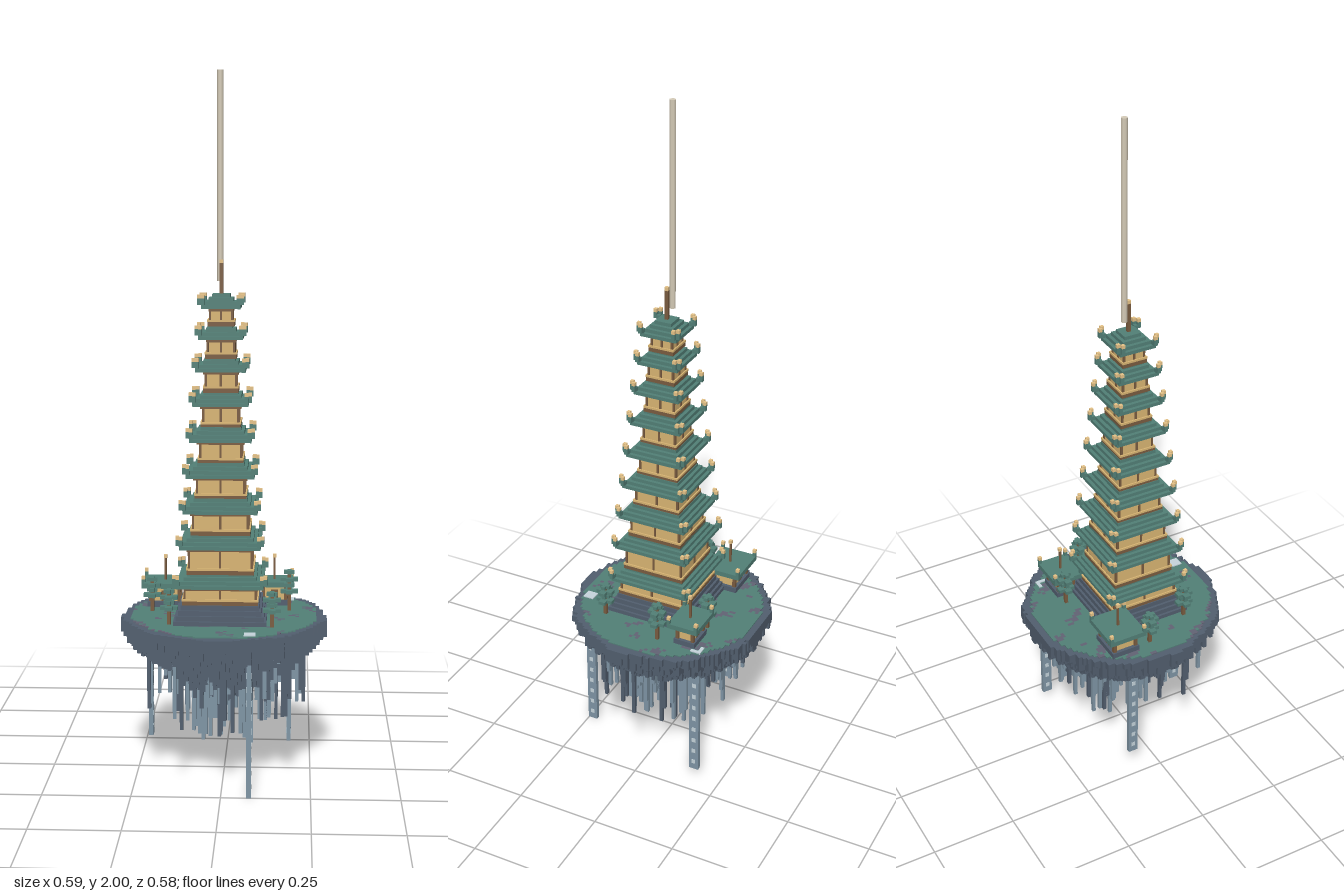
import * as THREE from 'three';
import { mergeGeometries } from 'three/addons/utils/BufferGeometryUtils.js';

const V = 0.01; // block size
const mat = (name, color) => {
  const m = new THREE.MeshStandardMaterial({ color });
  m.name = name;
  return m;
};
const MATS = {
  rock: mat('rock', 0x525f6f),
  grass: mat('grass', 0x528077),
  earth: mat('bare earth', 0x626374),
  roof: mat('roof tile', 0x528077),
  wall: mat('plaster wall', 0xd9b573),
  timber: mat('timber', 0x7a5c40),
  gold: mat('gold', 0xe6c388),
  water: mat('water', 0xc6d5dc),
  icicle: mat('hanging stone', 0x7f95a5),
  mast: mat('mast stone', 0xd6ccb8),
};

// Collects boxes by material and merges them into named meshes
function builder(name) {
  const lists = {};
  return {
    box(m, x, z, y0, y1, w, d = w) {
      const g = new THREE.BoxGeometry(w, y1 - y0, d);
      g.translate(x, (y0 + y1) / 2, z);
      (lists[m] ||= []).push(g);
    },
    build() {
      const group = new THREE.Group();
      group.name = name;
      for (const [m, geos] of Object.entries(lists)) {
        const mesh = new THREE.Mesh(mergeGeometries(geos), MATS[m]);
        mesh.name = name + ' ' + MATS[m].name;
        group.add(mesh);
      }
      return group;
    },
  };
}

function seeded(s) {
  return () => {
    s = (s * 1664525 + 1013904223) % 4294967296;
    return s / 4294967296;
  };
}
const corners = (f) => { for (const i of [-1, 1]) for (const j of [-1, 1]) f(i, j); };
const rockBottom = (r) => 0.44 - 0.235 * Math.pow(Math.max(0, 1 - r / 0.3), 0.75);

// Floating island: one column per block, deeper towards the middle
function island() {
  const b = builder('island'), rnd = seeded(7);
  for (let i = -30; i <= 30; i++) for (let j = -30; j <= 30; j++) {
    const x = i * V, z = j * V, r = Math.hypot(x, z);
    if (r > 0.29 + 0.005 * Math.sin(Math.atan2(z, x) * 9) + 0.008 * (rnd() - 0.5)) continue;
    const low = rockBottom(r) + Math.round((rnd() - 0.5) * 4) * V * 0.9;
    b.box('rock', x, z, Math.min(low, 0.44), 0.459, V);
    if (r < 0.27) {
      const n = Math.sin(x * 37 + 1.3) * Math.sin(z * 31 + 0.6) + 0.6 * Math.sin(x * 71 - z * 53);
      const bare = n > 0.7 && rnd() < 0.6;
      b.box(bare ? 'earth' : 'grass', x, z, 0.458, 0.462, V);
    }
  }
  return b.build();
}

// Thin stone columns and waterfalls hanging below the island
function hangings() {
  const b = builder('hangings'), rnd = seeded(23);
  for (let k = 0; k < 120; k++) {
    const r = 0.24 * Math.sqrt(rnd()), a = rnd() * Math.PI * 2;
    const x = Math.round(r * Math.cos(a) / V) * V, z = Math.round(r * Math.sin(a) / V) * V;
    const top = rockBottom(r) + 0.03;
    const end = Math.max(0.09, top - 0.05 - 0.15 * rnd());
    const m = rnd() < 0.7 ? 'icicle' : 'rock';
    b.box(m, x, z, end, top, V);
    if (rnd() < 0.6) b.box(m, x + V, z, end + 0.03 + 0.04 * rnd(), top, V);
    if (rnd() < 0.6) b.box(m, x, z + V, end + 0.02 + 0.05 * rnd(), top, V);
  }
  const falls = [[0.078, 0.237, 0, 0.4], [0.187, -0.168, 0.03, 0.4], [-0.22, -0.082, 0.07, 0.38]];
  for (const [x, z, y0, y1] of falls) {
    b.box('icicle', x, z, y0, y1, 0.013, 0.03);
    for (let y = y0 + 0.02; y < y1 - 0.03; y += 0.04) b.box('water', x, z, y, y + 0.014, 0.0145, 0.012);
  }
  // pools on the grass
  b.box('water', 0.08, 0.235, 0.455, 0.465, 0.032);
  b.box('water', 0.185, -0.184, 0.455, 0.465, 0.03, V);
  b.box('water', 0.196, -0.17, 0.455, 0.465, V, 0.025);
  return b.build();
}

// Stepped roof with raised, gold-tipped corners
function roof(b, x, z, y, h) {
  b.box('timber', x, z, y - 0.008, y, 2 * h - 0.04);
  for (let s = 0; s < 4; s++) {
    b.box('roof', x, z, y + s * V, y + s * V + 0.0101, 2 * h - s * 0.02);
  }
  corners((i, j) => {
    const cx = x + i * (h - 0.005), cz = z + j * (h - 0.005);
    b.box('roof', cx, cz, y + 0.005, y + 0.022, V);
    for (const [dx, dz] of [[V, 0], [0, V]]) {
      b.box('roof', cx + i * dx, cz + j * dz, y + 0.012, y + 0.03, V);
      b.box('gold', cx + i * dx, cz + j * dz, y + 0.03, y + 0.04, V);
    }
  });
}

// Nine-storey tower on a stepped plinth
function tower() {
  const b = builder('tower'), X = -0.007, Z = 0.02;
  for (let s = 0; s < 4; s++) b.box('rock', X, Z, 0.46 + s * 0.014, 0.474 + s * 0.014, 0.262 - s * 0.014);
  const roofY = [0.565, 0.675, 0.775, 0.875, 0.975, 1.075, 1.17, 1.26, 1.345];
  const eave = [0.123, 0.114, 0.105, 0.096, 0.087, 0.078, 0.07, 0.062, 0.055];
  const wall = [0.1, 0.088, 0.077, 0.066, 0.057, 0.049, 0.042, 0.037, 0.031];
  roofY.forEach((y, k) => {
    const h = wall[k], y0 = k ? roofY[k - 1] + 0.036 : 0.515;
    b.box('wall', X, Z, y0, y, 2 * h);
    b.box('timber', X, Z, y0, y0 + 0.012, 2 * h + 0.014);
    // corner and middle posts
    for (const t of [-h, 0, h]) for (const s of [-h, h]) {
      b.box('timber', X + t, Z + s, y0, y, 0.006);
      b.box('timber', X + s, Z + t, y0, y, 0.006);
    }
    // balcony rail
    for (const s of [-1, 1]) {
      b.box('wall', X, Z + s * (h + 0.006), y0 + 0.012, y0 + 0.018, 2 * h + 0.014, 0.004);
      b.box('wall', X + s * (h + 0.006), Z, y0 + 0.012, y0 + 0.018, 0.004, 2 * h + 0.014);
    }
    roof(b, X, Z, y, eave[k]);
  });
  // spire
  b.box('timber', X, Z, 1.375, 1.47, V);
  b.box('gold', X, Z, 1.47, 1.48, V);
  return b.build();
}

// Flat-roofed pavilion with gold corner tips and a finial
function hut(x, z, hx, hz) {
  const b = builder('hut');
  b.box('rock', x, z, 0.46, 0.478, 2 * hx - 0.03, 2 * hz - 0.03);
  b.box('wall', x, z, 0.478, 0.52, 2 * hx - 0.05, 2 * hz - 0.05);
  b.box('timber', x, z, 0.478, 0.508, 0.02, 2 * hz - 0.046);
  b.box('roof', x, z, 0.52, 0.535, 2 * hx, 2 * hz);
  corners((i, j) => {
    b.box('timber', x + i * (hx - 0.024), z + j * (hz - 0.024), 0.478, 0.52, V);
    b.box('roof', x + i * (hx - 0.005), z + j * (hz - 0.005), 0.535, 0.547, V);
    b.box('gold', x + i * (hx - 0.005), z + j * (hz - 0.005), 0.547, 0.557, V);
  });
  b.box('timber', x, z, 0.535, 0.6, 0.006);
  b.box('gold', x, z, 0.6, 0.61, V);
  return b.build();
}

// Small tree with cross-shaped leaf layers
function tree(x, z, h) {
  const b = builder('tree');
  b.box('timber', x, z, 0.46, 0.46 + h, V);
  [[0.05, 0.45], [0.03, 0.6], [0.05, 0.75], [0.03, 0.92]].forEach(([w, t]) => {
    const y = 0.46 + h * t;
    b.box('roof', x, z, y, y + V, w, w * 0.4);
    b.box('roof', x, z, y, y + V + 0.0005, w * 0.4, w);
  });
  return b.build();
}

export function createModel() {
  const model = new THREE.Group();
  model.name = 'floating tower island';
  model.add(island(), hangings(), tower());
  model.add(hut(-0.178, -0.108, 0.066, 0.058), hut(0.143, -0.13, 0.057, 0.048));
  for (const [x, z, h] of [[0.07, -0.15, 0.11], [0.187, -0.045, 0.12], [-0.21, -0.02, 0.1],
    [-0.15, 0.13, 0.1], [0.14, 0.15, 0.1]]) model.add(tree(x, z, h));
  // tall mast above the spire
  const mast = new THREE.Mesh(new THREE.CylinderGeometry(0.009, 0.009, 0.58, 8), MATS.mast);
  mast.name = 'mast';
  mast.position.set(-0.011, 1.71, 0.005);
  model.add(mast);
  return model;
}
